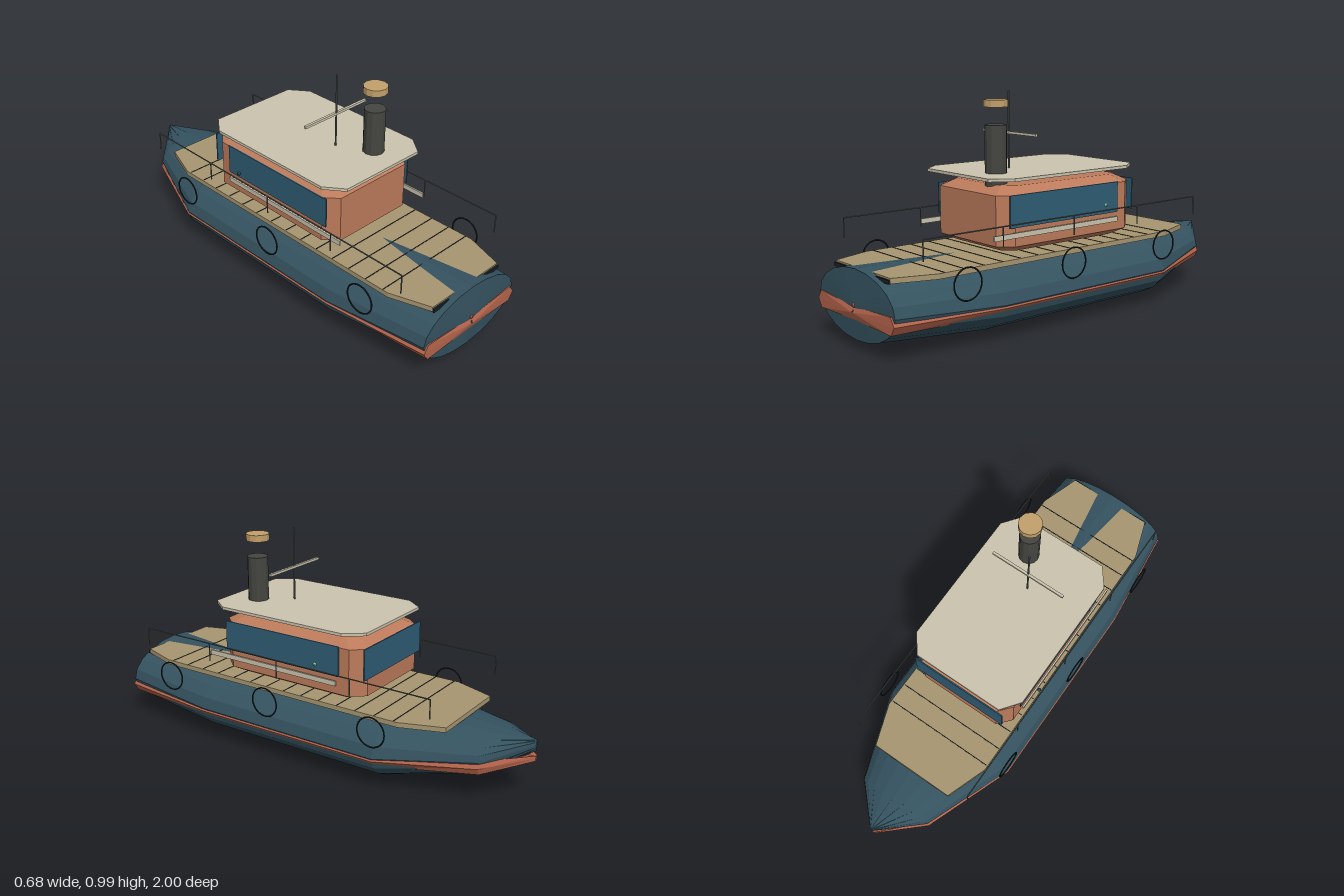
import * as THREE from 'three';

const mat = (color) => new THREE.MeshStandardMaterial({ color, flatShading: true });
const M = {
  hull: mat(0x34525f), red: mat(0xb5644c), cabin: mat(0xbd7b5b), deck: mat(0xa89670),
  cream: mat(0xcbc4ae), funnel: mat(0x454541), brass: mat(0xc2a06a), glass: mat(0x2f5d75),
  rail: mat(0x5c5f5f), black: mat(0x1a2124), green: mat(0x6fc4a8), dark: mat(0x2b4650),
};

// Skin a profile through sections [z, centreY, halfWidth, halfHeight], ordered from +z to -z
function loft(profile, sections, bulge = 0) {
  const n = profile.length, pos = [], idx = [];
  for (const [z, cy, w, h] of sections)
    for (const [px, py] of profile) pos.push(px * w, cy + py * h, z);
  for (let s = 0; s < sections.length - 1; s++)
    for (let i = 0; i < n; i++) {
      const j = (i + 1) % n, a = s * n + i, a1 = s * n + j, b = a + n, b1 = a1 + n;
      idx.push(a, b, b1, a, b1, a1);
    }
  const last = sections.length - 1, c0 = pos.length / 3;
  pos.push(0, sections[0][1], sections[0][0] + bulge, 0, sections[last][1], sections[last][0]);
  for (let i = 0; i < n; i++) {
    const j = (i + 1) % n;
    idx.push(c0, i, j, c0 + 1, last * n + j, last * n + i);
  }
  const g = new THREE.BufferGeometry();
  g.setAttribute('position', new THREE.Float32BufferAttribute(pos, 3));
  g.setIndex(idx);
  const flat = g.toNonIndexed();
  flat.computeVertexNormals();
  return flat;
}

export function createModel() {
  const root = new THREE.Group();
  root.name = 'tugboat';
  const add = (name, geo, material, x = 0, y = 0, z = 0) => {
    const m = new THREE.Mesh(geo, material);
    m.name = name;
    m.position.set(x, y, z);
    root.add(m);
    return m;
  };
  const box = (name, w, h, d, material, x, y, z) =>
    add(name, new THREE.BoxGeometry(w, h, d), material, x, y, z);
  const rod = (r, len, sides = 6) => new THREE.CylinderGeometry(r, r, len, sides);

  // Hull: elliptical sections from stern to bow
  const ring = Array.from({ length: 20 }, (_, i) => {
    const a = (i / 20) * Math.PI * 2;
    return [Math.cos(a), Math.sin(a)];
  });
  add('hull', loft(ring, [
    [0.983, 0.186, 0.285, 0.144],
    [0.5, 0.164, 0.335, 0.16],
    [-0.42, 0.163, 0.335, 0.158],
    [-0.83, 0.197, 0.18, 0.092],
    [-0.998, 0.252, 0.006, 0.025],
  ], 0.01), M.hull);

  // Red waterline band
  const band = [[1, 0], [0.92, 1], [0, 0.65], [-0.92, 1], [-1, 0], [-0.92, -1], [0, -0.85], [0.92, -1]];
  add('waterlineBand', loft(band, [
    [0.99, 0.157, 0.288, 0.036],
    [0.5, 0.153, 0.339, 0.03],
    [-0.42, 0.153, 0.339, 0.03],
    [-0.83, 0.172, 0.187, 0.03],
    [-1, 0.195, 0.006, 0.012],
  ], 0.01), M.red);
  add('sternKnob', new THREE.SphereGeometry(0.011, 10, 8), M.red, 0, 0.186, 0.988);
  add('sternPort', new THREE.SphereGeometry(0.01, 10, 8), M.dark, 0, 0.16, 0.99);

  // Deck slab with plank seams
  const half = [[0.2, -0.69], [0.268, -0.5], [0.265, 0.77], [0.205, 0.95]];
  const outline = [...half, ...half.map(([x, z]) => [-x, z]).reverse()];
  const deckGeo = new THREE.ExtrudeGeometry(
    new THREE.Shape(outline.map(([x, z]) => new THREE.Vector2(x, -z))), { depth: 0.022, bevelEnabled: false });
  add('deck', deckGeo.rotateX(-Math.PI / 2), M.deck, 0, 0.302, 0);
  for (let i = 0; i < 14; i++)
    box('deckSeam', 0.525, 0.002, 0.004, M.black, 0, 0.3245, -0.48 + i * 0.094);

  // Cabin and roof: chamfered octagons stacked upright
  const octagon = (cx, cz) => [[1, -cz], [1, cz], [cx, 1], [-cx, 1], [-1, cz], [-1, -cz], [-cx, -1], [cx, -1]];
  add('cabin', loft(octagon(0.79, 0.84), [
    [0.612, -0.065, 0.195, 0.315],
    [0.58, -0.065, 0.248, 0.375],
    [0.37, -0.065, 0.248, 0.375],
    [0.34, -0.065, 0.195, 0.315],
  ]).rotateX(-Math.PI / 2), M.cabin);
  add('roof', loft(octagon(0.77, 0.79), [
    [0.657, -0.088, 0.278, 0.403],
    [0.644, -0.088, 0.278, 0.403],
  ]).rotateX(-Math.PI / 2), M.cream);
  box('bowWindow', 0.46, 0.14, 0.006, M.glass, 0, 0.518, -0.313);

  // Funnel, its floating cap, mast and crossbar
  add('funnel', rod(0.047, 0.26, 12), M.funnel, 0.087, 0.728, 0.352);
  add('funnelCap', rod(0.053, 0.03, 12), M.brass, 0.087, 0.947, 0.35);
  add('mast', rod(0.004, 0.34, 8), M.rail, 0, 0.82, 0.213);
  box('mastCrossbar', 0.36, 0.011, 0.012, M.cream, 0, 0.81, 0.21);

  // Fittings mirrored on both sides
  for (const s of [1, -1]) {
    box('sideWindow', 0.006, 0.135, 0.61, M.glass, s * 0.25, 0.517, 0.105);
    box('grabRail', 0.008, 0.022, 0.69, M.cream, s * 0.259, 0.42, 0.155);
    add('railTop', rod(0.003, 1.525), M.rail, s * 0.294, 0.474, 0.0975).rotation.x = Math.PI / 2;
    for (let i = 0; i < 5; i++)
      add('railPost', rod(0.003, 0.085), M.rail, s * 0.294, 0.432, 0.86 - i * 0.381);
    for (const z of [0.685, 0.135, -0.415])
      add('fenderRing', new THREE.TorusGeometry(0.066, 0.0035, 6, 28), M.black, s * 0.335, 0.283, z)
        .rotation.y = Math.PI / 2;
    add('navigationLight', new THREE.SphereGeometry(0.009, 10, 8), s > 0 ? M.green : M.dark, s * 0.282, 0.495, -0.1);
    box('sternCleat', 0.11, 0.016, 0.02, M.black, s * 0.15, 0.309, 0.948);
  }
  return root;
}
